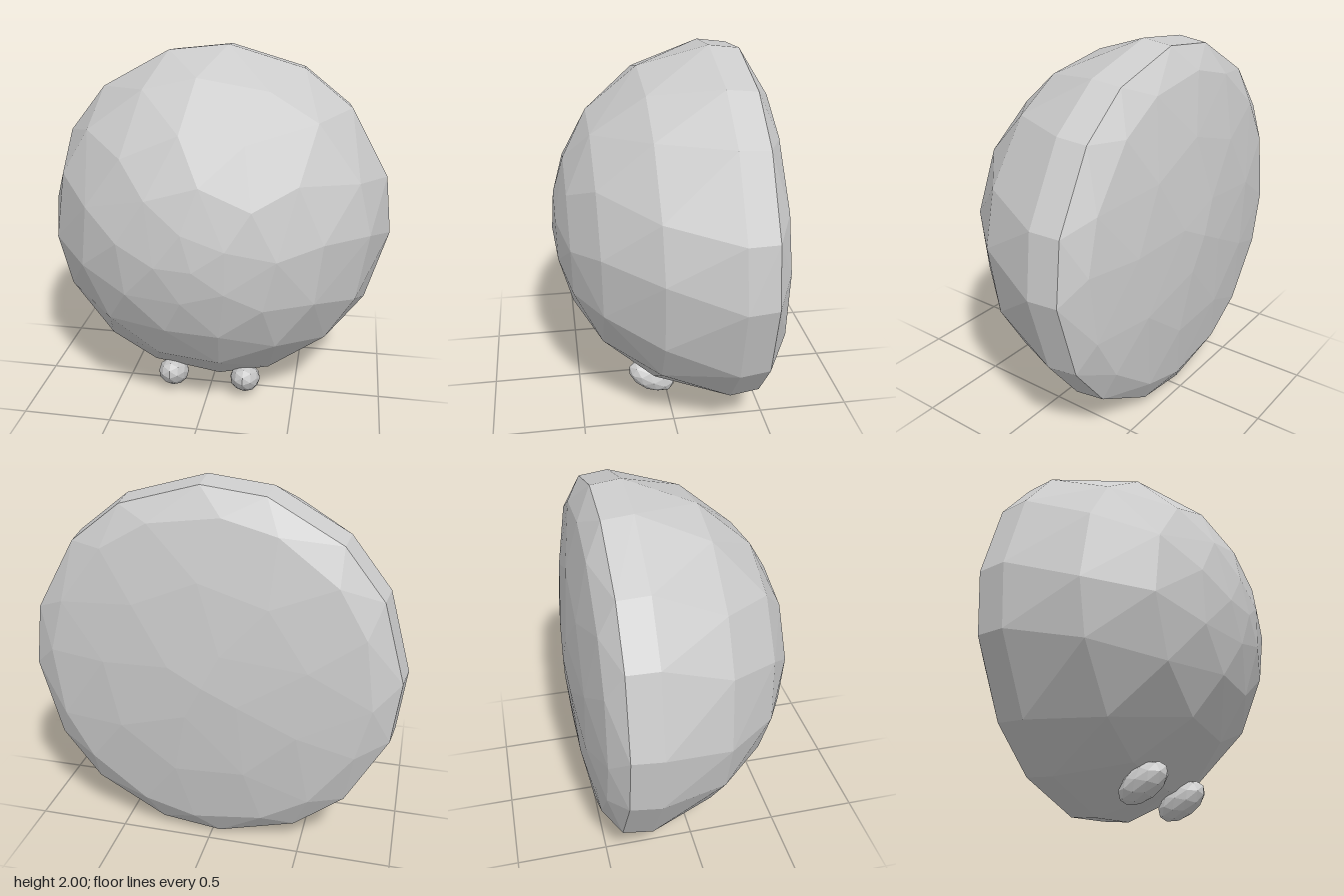
import * as THREE from 'three';
import { ConvexGeometry } from 'three/addons/geometries/ConvexGeometry.js';

const material = new THREE.MeshStandardMaterial({ color: 0xcccccc, flatShading: true });

// Facet rings: [radius, z, corner count, turn in degrees]
const RINGS = [
  [0.20, 0.59, 5, 20],
  [0.42, 0.525, 9, 0],
  [0.65, 0.385, 12, 12],
  [0.88, 0.105, 16, 7],
  [1.00, -0.26, 16, 0],
  [0.98, -0.42, 16, 0],
  [0.85, -0.505, 16, 8],
  [0.54, -0.565, 9, 0],
  [0.20, -0.598, 4, 30],
];

// Domed front with a shallow, nearly flat back
function bodyGeometry() {
  const points = [new THREE.Vector3(0, 1, 0.61), new THREE.Vector3(0, 1, -0.61)];
  for (const [radius, z, count, turn] of RINGS) {
    for (let i = 0; i < count; i++) {
      // alternate long and short sides on the 16-sided rings
      const uneven = count === 16 && i % 2 ? -3 : 0;
      const a = THREE.MathUtils.degToRad(87 + turn + (i * 360) / count + uneven);
      const y = radius * Math.sin(a);
      // the whole disc leans slightly forward at the top
      points.push(new THREE.Vector3(radius * Math.cos(a), 1 + y, z + 0.02 * y));
    }
  }
  return new ConvexGeometry(points);
}

export function createModel() {
  const model = new THREE.Group();
  model.name = 'roundBodyWithFeet';

  const body = new THREE.Mesh(bodyGeometry(), material);
  body.name = 'body';
  model.add(body);

  // Small faceted feet, toes tilted up
  const footGeometry = new THREE.IcosahedronGeometry(1, 1);
  for (const [name, side] of [['leftFoot', 1], ['rightFoot', -1]]) {
    const foot = new THREE.Mesh(footGeometry, material);
    foot.name = name;
    foot.scale.set(0.088, 0.083, 0.148);
    foot.rotation.x = -0.5;
    foot.position.set(side * 0.215, 0.104, 0.085);
    model.add(foot);
  }
  return model;
}
